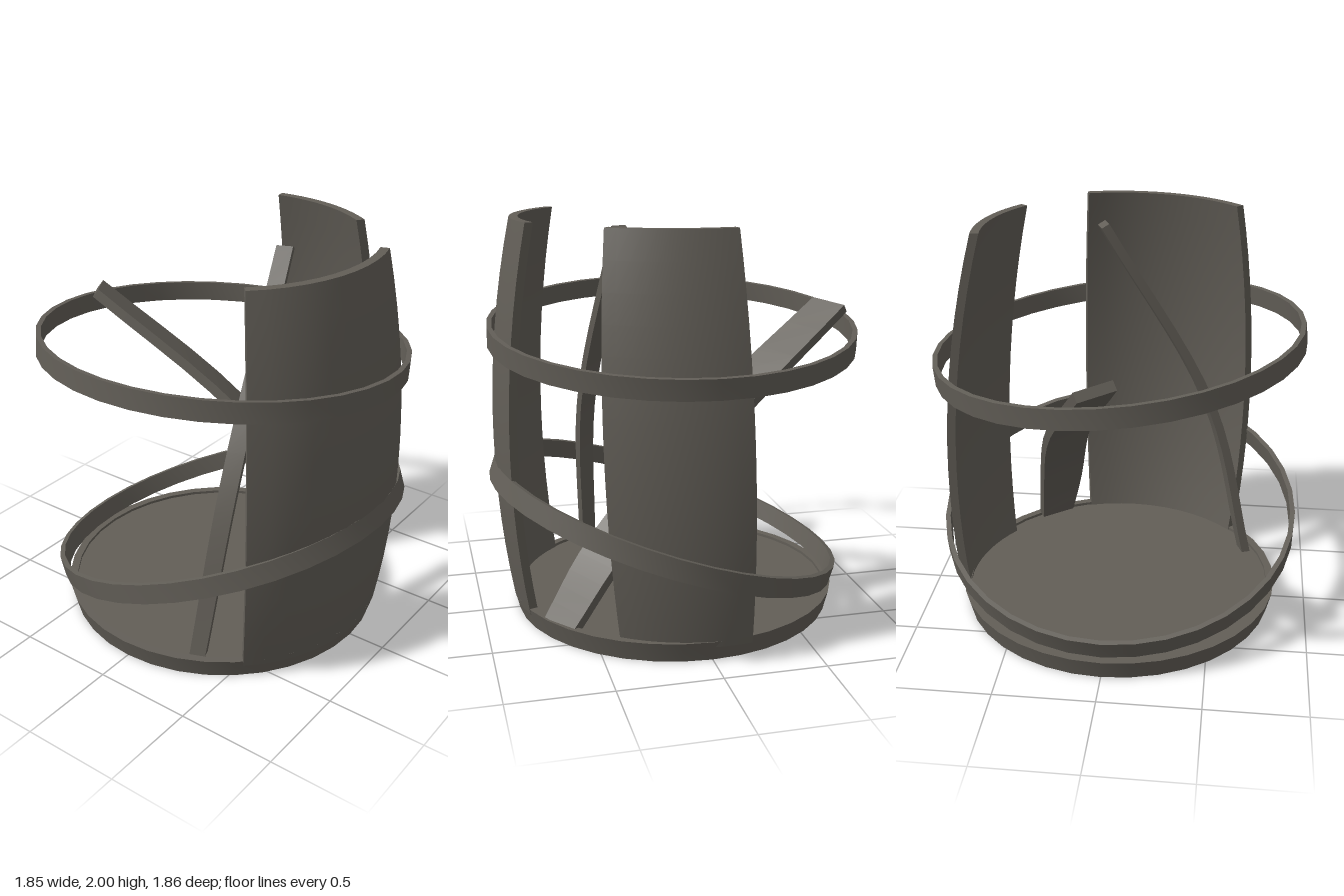
import * as THREE from 'three';
import { toCreasedNormals } from 'three/addons/utils/BufferGeometryUtils.js';

const V = (x, y, z) => new THREE.Vector3(x, y, z);
const rad = THREE.MathUtils.degToRad;

// Solid from stacked rings (counter-clockwise seen from the last ring), capped at both ends
function solid(rings) {
  const pos = [];
  const quad = (a, b, c, d) => [a, b, c, a, c, d].forEach(p => pos.push(p.x, p.y, p.z));
  const n = rings[0].length;
  for (let k = 0; k + 1 < rings.length; k++) {
    const r0 = rings[k], r1 = rings[k + 1];
    for (let i = 0; i < n; i++) {
      const j = (i + 1) % n;
      quad(r0[i], r0[j], r1[j], r1[i]);
    }
  }
  const lo = rings[0], hi = rings[rings.length - 1];
  for (let i = 0; i < n / 2 - 1; i++) {
    quad(hi[i], hi[i + 1], hi[n - 2 - i], hi[n - 1 - i]);
    quad(lo[n - 1 - i], lo[n - 2 - i], lo[i + 1], lo[i]);
  }
  const g = new THREE.BufferGeometry();
  g.setAttribute('position', new THREE.Float32BufferAttribute(pos, 3));
  return toCreasedNormals(g, rad(35));
}

// Bulging barrel wall section between two angles (from +z towards +x), leaning from one offset to another
function wallSection(a0, a1, offLow, offHigh) {
  const rings = [], rows = 14, cols = 10, thick = 0.043;
  for (let k = 0; k <= rows; k++) {
    const t = k / rows, y = 0.07 + 1.93 * t;
    const r = 0.91 - 0.104 * (y - 0.95) ** 2;
    const off = offLow.clone().lerp(offHigh, t);
    const at = (i, rr) => {
      const a = rad(a0 + (a1 - a0) * i / cols);
      return V(Math.sin(a) * rr, y, Math.cos(a) * rr).add(off);
    };
    const ring = [];
    for (let i = 0; i <= cols; i++) ring.push(at(i, r));
    for (let i = cols; i >= 0; i--) ring.push(at(i, r - thick));
    rings.push(ring);
  }
  return solid(rings);
}

// Bent loose plank along a curve; width is a half-width vector, wider at the belly
function plank(points, width, belly, thick) {
  const curve = new THREE.CatmullRomCurve3(points), rings = [], steps = 14;
  for (let k = 0; k <= steps; k++) {
    const t = k / steps, c = curve.getPoint(t);
    const w = width.clone().multiplyScalar(1 + belly * Math.sin(Math.PI * t));
    const n = curve.getTangent(t).cross(w).setLength(thick / 2);
    const corner = (s, u) => c.clone().addScaledVector(w, s).addScaledVector(n, u);
    rings.push([corner(-1, -1), corner(1, -1), corner(1, 1), corner(-1, 1)]);
  }
  return solid(rings);
}

const lathe = pts => toCreasedNormals(
  new THREE.LatheGeometry(pts.map(p => new THREE.Vector2(...p)), 36), rad(35));

export function createModel() {
  const model = new THREE.Group();
  model.name = 'brokenBarrel';
  const wood = new THREE.MeshStandardMaterial({ color: 0x625e57 });
  wood.name = 'weathered grey';
  const add = (name, geometry) => {
    const m = new THREE.Mesh(geometry, wood);
    m.name = name;
    model.add(m);
    return m;
  };

  // Base: flared disc with a shallow rim
  add('base', lathe([[0, 0], [0.81, 0], [0.835, 0.1], [0.795, 0.1], [0.795, 0.085], [0, 0.085]]));

  // Standing wall sections
  add('frontStaves', wallSection(-47, 18.6, V(0, 0, 0), V(0, 0, 0)));
  add('leftStaves', wallSection(54.4, 98.4, V(0, 0, -0.07), V(-0.09, 0, -0.02)));

  // Loose planks leaning inside
  add('fallenStave', plank(
    [V(0.45, 0.08, 0.66), V(0.38, 0.42, 0.42), V(0.25, 0.98, -0.13), V(0.01, 1.52, -0.84)],
    V(0.08, -0.01, -0.055), 0.25, 0.05));
  add('leaningStave', plank(
    [V(-0.67, 0.08, 0.34), V(-0.45, 0.95, 0.37), V(0.11, 1.95, 0.28)],
    V(0.015, 0, 0.037), 0.1, 0.045));

  // Slipped hoops
  const hoop = lathe([[0.9, -0.05], [0.925, -0.05], [0.925, 0.05], [0.9, 0.05], [0.9, -0.05]]);
  const upper = add('upperHoop', hoop);
  upper.position.y = 1.425;
  upper.rotation.z = -0.103;
  const lower = add('lowerHoop', hoop);
  lower.position.set(0, 0.46, 0.045);
  lower.rotation.x = -0.32;

  return model;
}
